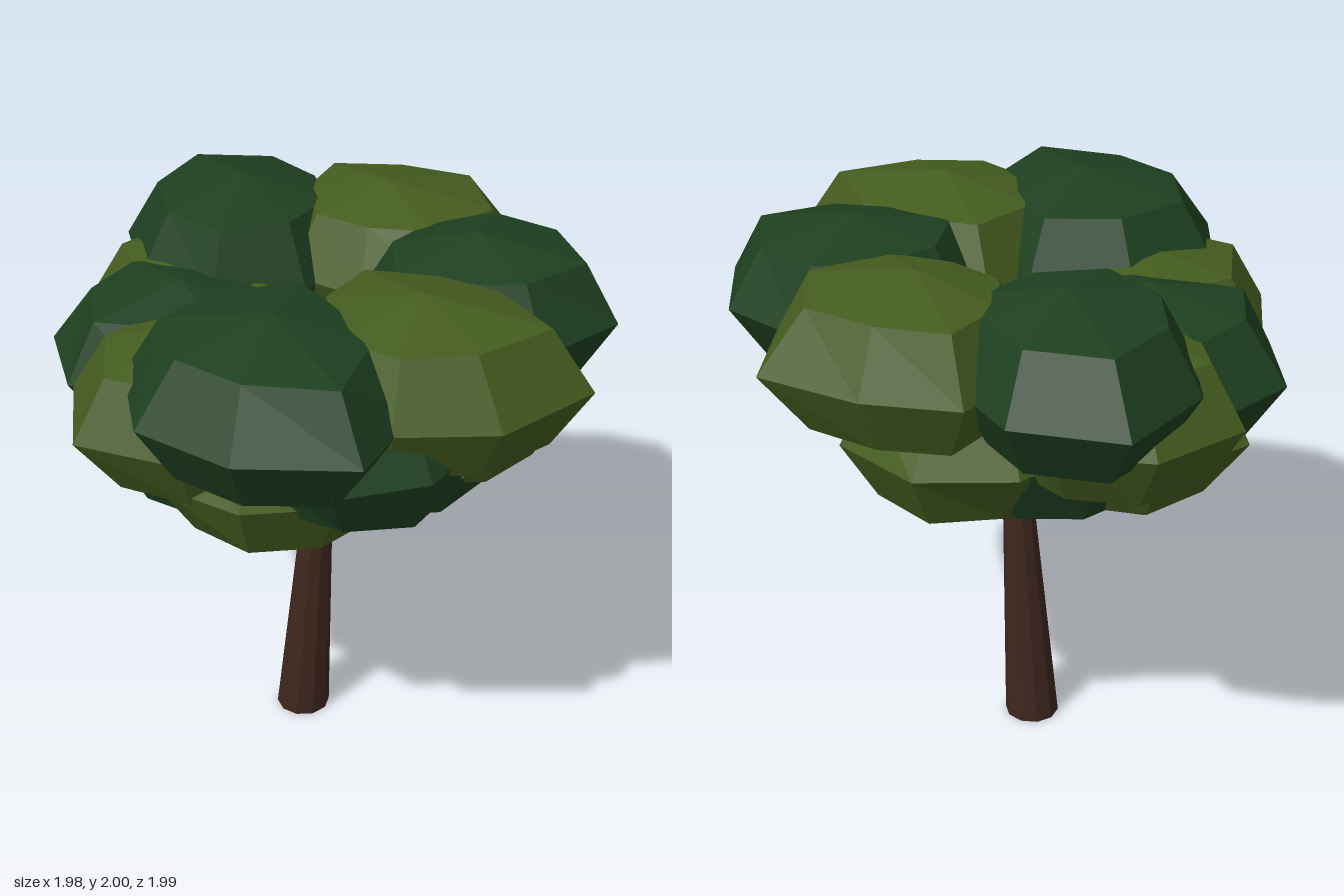
import * as THREE from 'three';

const mat = (name, color) => {
  const m = new THREE.MeshStandardMaterial({ color });
  m.name = name;
  return m;
};

// Small seeded generator for the uneven leaf clumps
let seed = 7;
const rand = () => (seed = (seed * 16807) % 2147483647) / 2147483647;

// Faceted mesh: one normal per face
function facet(geo, material, name) {
  const g = geo.toNonIndexed();
  g.computeVertexNormals();
  const mesh = new THREE.Mesh(g, material);
  mesh.name = name;
  return mesh;
}

// Flattened eight-sided clump; radii run from +x towards +z in 45 degree steps
function clump(x, y, z, radii, material, name) {
  const geo = new THREE.SphereGeometry(1, 8, 4);
  const p = geo.attributes.position;
  const ring = Array.from({ length: 16 }, () => 0.95 + rand() * 0.14);
  for (let i = 0; i < p.count; i++) {
    const py = p.getY(i);
    const k = (Math.round(Math.atan2(p.getZ(i), p.getX(i)) / (Math.PI / 4)) + 8) % 8;
    const isRing = Math.abs(py) > 0.1 && Math.abs(py) < 0.9;
    const r = isRing ? radii[k] * ring[py > 0 ? k : k + 8] : radii[k];
    p.setXYZ(i, p.getX(i) * r, py * (isRing ? 0.305 : 0.29), p.getZ(i) * r);
  }
  const mesh = facet(geo, material, name);
  mesh.position.set(x, y, z);
  return mesh;
}

// Tapered limb between two points with level ends
function limb(a, b, r0, r1, sides, material, name) {
  const geo = new THREE.CylinderGeometry(r1, r0, 1, sides);
  const p = geo.attributes.position;
  for (let i = 0; i < p.count; i++) {
    const t = p.getY(i) + 0.5;
    p.setXYZ(i,
      p.getX(i) + a[0] + (b[0] - a[0]) * t,
      a[1] + (b[1] - a[1]) * t,
      p.getZ(i) + a[2] + (b[2] - a[2]) * t);
  }
  return facet(geo, material, name);
}

export function createModel() {
  const dark = mat('dark green leaves', 0x1e4020);
  const olive = mat('olive leaves', 0x445c1f);
  const bark = mat('bark', 0x3d271e);
  const tree = new THREE.Group();
  tree.name = 'tree';

  // Leaning trunk and the forked twigs under the canopy
  const wood = new THREE.Group();
  wood.name = 'trunkAndBranches';
  wood.add(limb([-0.09, 0, -0.05], [-0.01, 1.25, -0.05], 0.1, 0.04, 10, bark, 'trunk'));
  for (const [x, z] of [[-0.26, 0.1], [-0.26, -0.2], [-0.11, 0.12], [-0.11, -0.22]]) {
    wood.add(limb([-0.09, 0.89, -0.05], [x, 1.2, z], 0.03, 0.022, 6, bark, 'branch'));
  }
  tree.add(wood);

  // Each layer: height, then clumps as [x, z, material, radius or eight radii]
  const layers = [
    ['topLeaves', 1.71, [
      [-0.04, 0.5, dark, [0.49, 0.57, 0.49, 0.5, 0.51, 0.48, 0.5, 0.4]],
      [0.4, 0.25, olive, [0.58, 0.48, 0.44, 0.46, 0.45, 0.48, 0.42, 0.42]],
      [0.49, -0.24, dark, [0.5, 0.41, 0.38, 0.48, 0.42, 0.4, 0.42, 0.46]],
      [0.08, -0.59, olive, [0.52, 0.5, 0.37, 0.4, 0.4, 0.46, 0.41, 0.54]],
      [-0.41, -0.51, dark, [0.38, 0.42, 0.46, 0.44, 0.47, 0.545, 0.46, 0.38]],
    ]],
    ['middleLeaves', 1.53, [
      [-0.5, 0.02, dark, [0.42, 0.38, 0.32, 0.45, 0.49, 0.5, 0.42, 0.42]],
      [-0.29, 0.33, olive, [0.42, 0.45, 0.42, 0.53, 0.51, 0.45, 0.42, 0.42]],
      [0.24, 0.36, dark, [0.4, 0.41, 0.46, 0.45, 0.4, 0.4, 0.38, 0.4]],
      [0.42, 0.04, olive, [0.47, 0.45, 0.4, 0.4, 0.4, 0.38, 0.3, 0.38]],
      [-0.47, -0.34, olive, [0.4, 0.4, 0.4, 0.42, 0.5, 0.46, 0.42, 0.4]],
    ]],
    ['lowerLeaves', 1.35, [
      [-0.1, 0.29, olive, [0.5, 0.43, 0.42, 0.45, 0.45, 0.4, 0.4, 0.42]],
      [0.22, -0.05, dark, [0.51, 0.5, 0.45, 0.4, 0.4, 0.4, 0.42, 0.54]],
      [0, -0.34, olive, [0.42, 0.4, 0.4, 0.4, 0.42, 0.45, 0.47, 0.48]],
      [-0.4, -0.1, olive, [0.4, 0.4, 0.42, 0.45, 0.51, 0.45, 0.4, 0.4]],
      [-0.3, 0.14, dark, 0.42],
      [-0.25, -0.24, dark, 0.42],
    ]],
  ];
  for (const [name, y, clumps] of layers) {
    const layer = new THREE.Group();
    layer.name = name;
    for (const [x, z, material, r] of clumps) {
      const radii = Array.isArray(r) ? r : Array.from({ length: 8 }, () => r * (0.92 + rand() * 0.2));
      layer.add(clump(x, y, z, radii, material, 'leafClump'));
    }
    tree.add(layer);
  }
  return tree;
}
